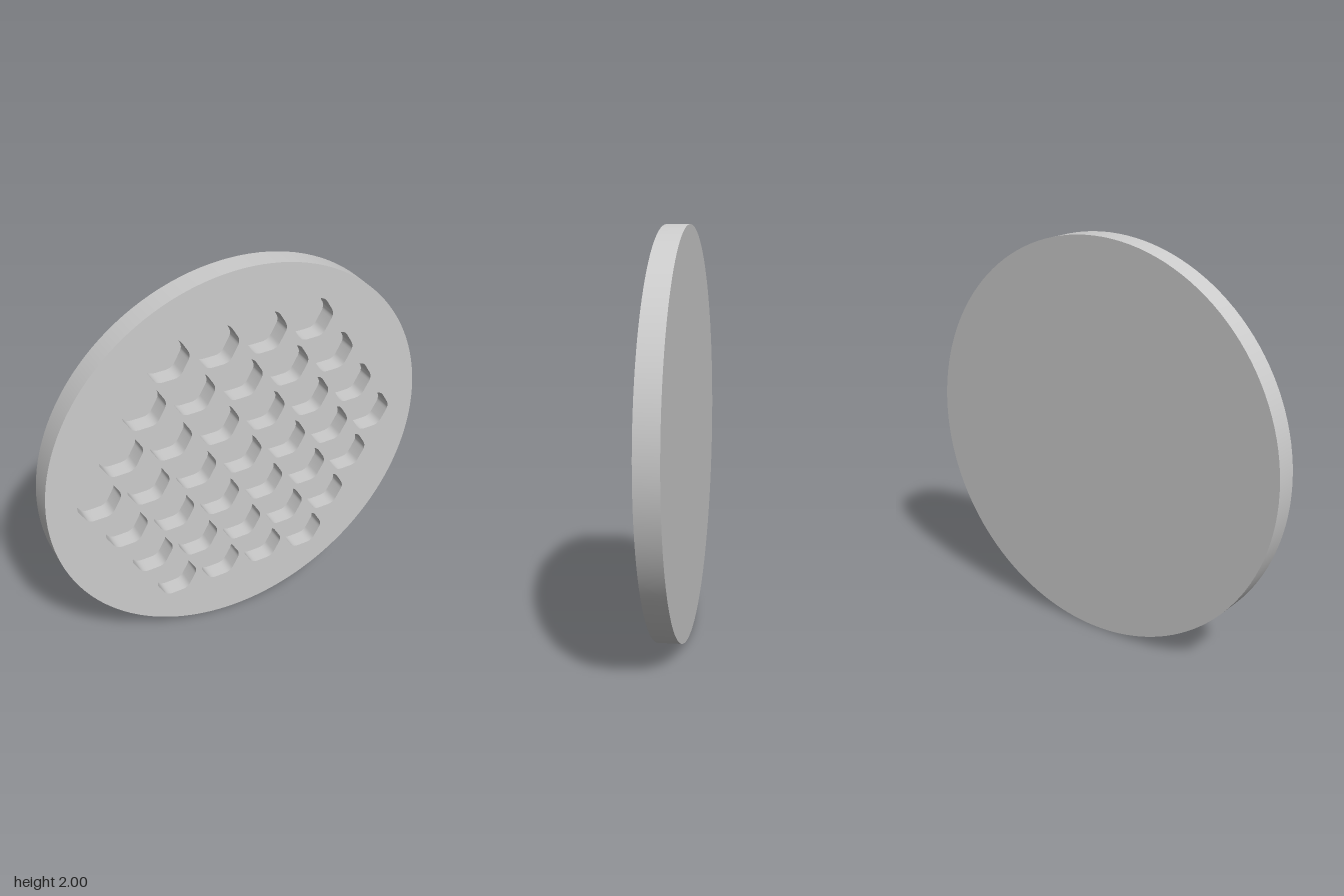
import * as THREE from 'three';
import { toCreasedNormals } from 'three/addons/utils/BufferGeometryUtils.js';

const RADIUS = 1, HALF = 0.057, SEGMENTS = 128;
const PITCH = 0.248, DEPTH = 0.085;
const APOTHEM = 0.1, FILLET = 0.05;

// Hexagon with flat top and rounded corners, counter-clockwise
function hexPoints() {
  const pts = [];
  const reach = (APOTHEM - FILLET) / Math.cos(Math.PI / 6);
  const steps = 5;
  for (let k = 0; k < 6; k++) {
    const c = k * Math.PI / 3;
    for (let j = 0; j <= steps; j++) {
      const a = c + (j / steps - 0.5) * Math.PI / 3;
      pts.push(new THREE.Vector2(
        reach * Math.cos(c) + FILLET * Math.cos(a),
        reach * Math.sin(c) + FILLET * Math.sin(a)));
    }
  }
  return pts;
}

// Honeycomb centres: rows of 4, 5, 6, 7, 6, 5, 4
function pocketCentres() {
  const centres = [];
  for (let row = -3; row <= 3; row++) {
    const count = 7 - Math.abs(row);
    for (let i = 0; i < count; i++) {
      centres.push(new THREE.Vector2((i - (count - 1) / 2) * PITCH, row * PITCH * Math.sqrt(3) / 2));
    }
  }
  return centres;
}

// Strip wrapped clockwise round the hexagon so that it faces inward
function pocketWallGeometry(pts) {
  const n = pts.length;
  const geo = new THREE.PlaneGeometry(1, 1, n, 1);
  const pos = geo.attributes.position;
  for (let i = 0; i < pos.count; i++) {
    const p = pts[(n - i % (n + 1)) % n];
    pos.setXYZ(i, p.x, p.y, i <= n ? HALF : HALF - DEPTH);
  }
  return toCreasedNormals(geo, 0.5);
}

export function createModel() {
  const group = new THREE.Group();
  group.name = 'honeycombDisc';
  const material = new THREE.MeshStandardMaterial({ color: 0xcccccc });
  const add = (name, geometry, parent = group) => {
    const mesh = new THREE.Mesh(geometry, material);
    mesh.name = name;
    parent.add(mesh);
    return mesh;
  };

  const hex = hexPoints();
  const centres = pocketCentres();

  // Front face pierced by the pocket openings
  const outline = [];
  for (let i = 0; i < SEGMENTS; i++) {
    const a = i / SEGMENTS * Math.PI * 2;
    outline.push(new THREE.Vector2(RADIUS * Math.cos(a), RADIUS * Math.sin(a)));
  }
  const face = new THREE.Shape(outline);
  for (const c of centres) face.holes.push(new THREE.Path(hex.map(p => p.clone().add(c))));
  add('frontFace', new THREE.ShapeGeometry(face)).position.z = HALF;

  // Rim and plain back
  add('rim', new THREE.CylinderGeometry(RADIUS, RADIUS, HALF * 2, SEGMENTS, 1, true).rotateX(Math.PI / 2));
  add('backFace', new THREE.CircleGeometry(RADIUS, SEGMENTS).rotateY(Math.PI)).position.z = -HALF;

  // Blind hexagonal pockets
  const wallGeo = pocketWallGeometry(hex);
  const floorGeo = new THREE.ShapeGeometry(new THREE.Shape(hex)).translate(0, 0, HALF - DEPTH);
  for (const c of centres) {
    const pocket = new THREE.Group();
    pocket.name = 'hexPocket';
    pocket.position.set(c.x, c.y, 0);
    add('pocketWall', wallGeo, pocket);
    add('pocketFloor', floorGeo, pocket);
    group.add(pocket);
  }

  // Stand the disc on the ground
  for (const part of group.children) part.position.y += RADIUS;
  return group;
}
